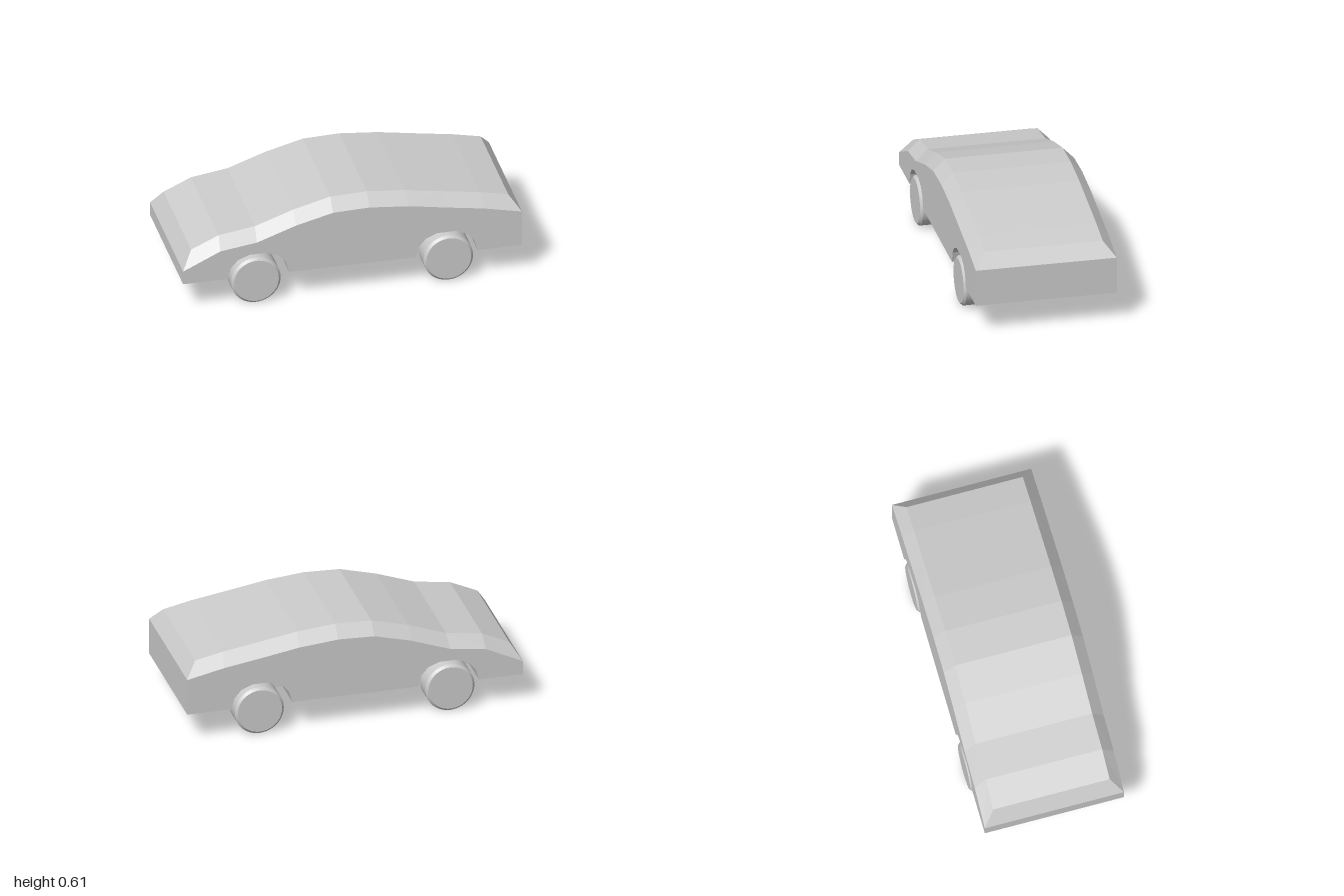
import * as THREE from 'three';
import { mergeGeometries, toCreasedNormals } from 'three/addons/utils/BufferGeometryUtils.js';

const FLOOR = 0.177, W = 0.415, ROOF_W = 0.347, POCKET_Z = 0.2;
const WHEEL_X = 0.568, WHEEL_R = 0.146, ARCH_X = 0.556;

// Shoulder line (edge of the flat sides) and roof line, nose to tail
const SHOULDER = [[-1, 0.26], [-0.78, 0.365], [-0.565, 0.395], [-0.335, 0.477], [-0.115, 0.534],
  [0.1, 0.541], [0.335, 0.519], [0.56, 0.481], [0.78, 0.446], [1, 0.398]];
const ROOF = [[-0.937, 0.36], [-0.775, 0.434], [-0.56, 0.466], [-0.335, 0.546], [-0.115, 0.604],
  [0.1, 0.611], [0.325, 0.59], [0.55, 0.553], [0.77, 0.518], [0.935, 0.483]];
// Wheel arch outline about its centre, left to right
const ARCH = [[-0.182, FLOOR], [-0.162, 0.245], [-0.122, 0.292], [-0.055, 0.32],
  [0.055, 0.32], [0.122, 0.292], [0.162, 0.245], [0.182, FLOOR]];

const archAt = (cx) => ARCH.map(([x, y]) => [x + cx, y]);
const at = ([x, y], z) => [x, y, z];

// Flat-shaded geometry from four-cornered faces
function quads(list) {
  const pos = list.flatMap(([a, b, c, d]) => [a, b, c, a, c, d].flat());
  const g = new THREE.BufferGeometry();
  g.setAttribute('position', new THREE.Float32BufferAttribute(pos, 3));
  g.computeVertexNormals();
  return g;
}

// Flat panel from an outline, facing +z
function panel(points) {
  const shape = new THREE.Shape(points.map(([x, y]) => new THREE.Vector2(x, y)));
  const g = new THREE.ShapeGeometry(shape).toNonIndexed();
  g.deleteAttribute('uv');
  return g;
}

// Join a half with its mirror image across z = 0
function mirrored(half) {
  const other = half.clone().scale(1, 1, -1);
  const p = other.attributes.position;
  for (let i = 0; i < p.count; i += 3) {
    const b = [p.getX(i + 1), p.getY(i + 1), p.getZ(i + 1)];
    p.setXYZ(i + 1, p.getX(i + 2), p.getY(i + 2), p.getZ(i + 2));
    p.setXYZ(i + 2, ...b);
  }
  other.computeVertexNormals();
  return mergeGeometries([half, other]);
}

function wheelGeometry() {
  const h = 0.0775, b = 0.014;
  const profile = [[0, -h], [WHEEL_R - b, -h], [WHEEL_R, b - h], [WHEEL_R, h - b], [WHEEL_R - b, h], [0, h]];
  const lathe = new THREE.LatheGeometry(profile.map(([r, y]) => new THREE.Vector2(r, y)), 48);
  return toCreasedNormals(lathe.rotateX(Math.PI / 2), 0.5);
}

export function createModel() {
  const car = new THREE.Group();
  car.name = 'car';
  const material = new THREE.MeshStandardMaterial({ color: 0xcccccc });
  const add = (name, geometry) => {
    const mesh = new THREE.Mesh(geometry, material);
    mesh.name = name;
    car.add(mesh);
    return mesh;
  };

  // Sides, notched by the wheel arches
  const side = panel([[-1, FLOOR], ...archAt(-ARCH_X), ...archAt(ARCH_X), [1, FLOOR], ...[...SHOULDER].reverse()]);
  add('sidePanels', mirrored(side.translate(0, 0, W)));

  // Bevelled shoulders and roof skin
  const shoulders = [], roof = [];
  for (let i = 0; i < ROOF.length - 1; i++) {
    const [u, v] = [ROOF[i], ROOF[i + 1]];
    shoulders.push([at(SHOULDER[i], W), at(SHOULDER[i + 1], W), at(v, ROOF_W), at(u, ROOF_W)]);
    roof.push([at(u, ROOF_W), at(v, ROOF_W), at(v, 0), at(u, 0)]);
  }
  add('shoulders', mirrored(quads(shoulders)));
  add('roof', mirrored(quads(roof)));

  // Nose and tail: upright face with a bevel above it
  const last = ROOF.length - 1;
  for (const [name, i, x] of [['nose', 0, -1], ['tail', last, 1]]) {
    const s = SHOULDER[i], r = ROOF[i];
    const faces = [
      [[x, FLOOR, W], [x, FLOOR, 0], at(s, 0), at(s, W)],
      [at(s, W), at(s, 0), at(r, 0), at(r, ROOF_W)],
    ];
    if (x < 0) faces.forEach((f) => f.reverse());
    add(name, mirrored(quads(faces)));
  }

  // Underside with rectangular wheel openings
  const outline = [[-1, 0], [1, 0], [1, W]];
  for (const cx of [ARCH_X, -ARCH_X]) {
    const a = cx + 0.182, b = cx - 0.182;
    outline.push([a, W], [a, POCKET_Z], [b, POCKET_Z], [b, W]);
  }
  outline.push([-1, W]);
  add('underside', mirrored(panel(outline).rotateX(Math.PI / 2).translate(0, FLOOR, 0)));

  // Wheel wells: arched lining and inner wall
  for (const [name, cx] of [['noseWheelWells', -ARCH_X], ['tailWheelWells', ARCH_X]]) {
    const arch = archAt(cx);
    const lining = arch.slice(1).map((b, i) => {
      const a = arch[i];
      return [at(a, POCKET_Z), at(b, POCKET_Z), at(b, W), at(a, W)];
    });
    const wall = panel(arch).translate(0, 0, POCKET_Z);
    add(name, mirrored(mergeGeometries([quads(lining), wall])));
  }

  // Wheels
  const wheel = wheelGeometry();
  for (const x of [-WHEEL_X, WHEEL_X]) {
    for (const z of [-0.342, 0.342]) {
      add('wheel', wheel).position.set(x, WHEEL_R, z);
    }
  }
  return car;
}
